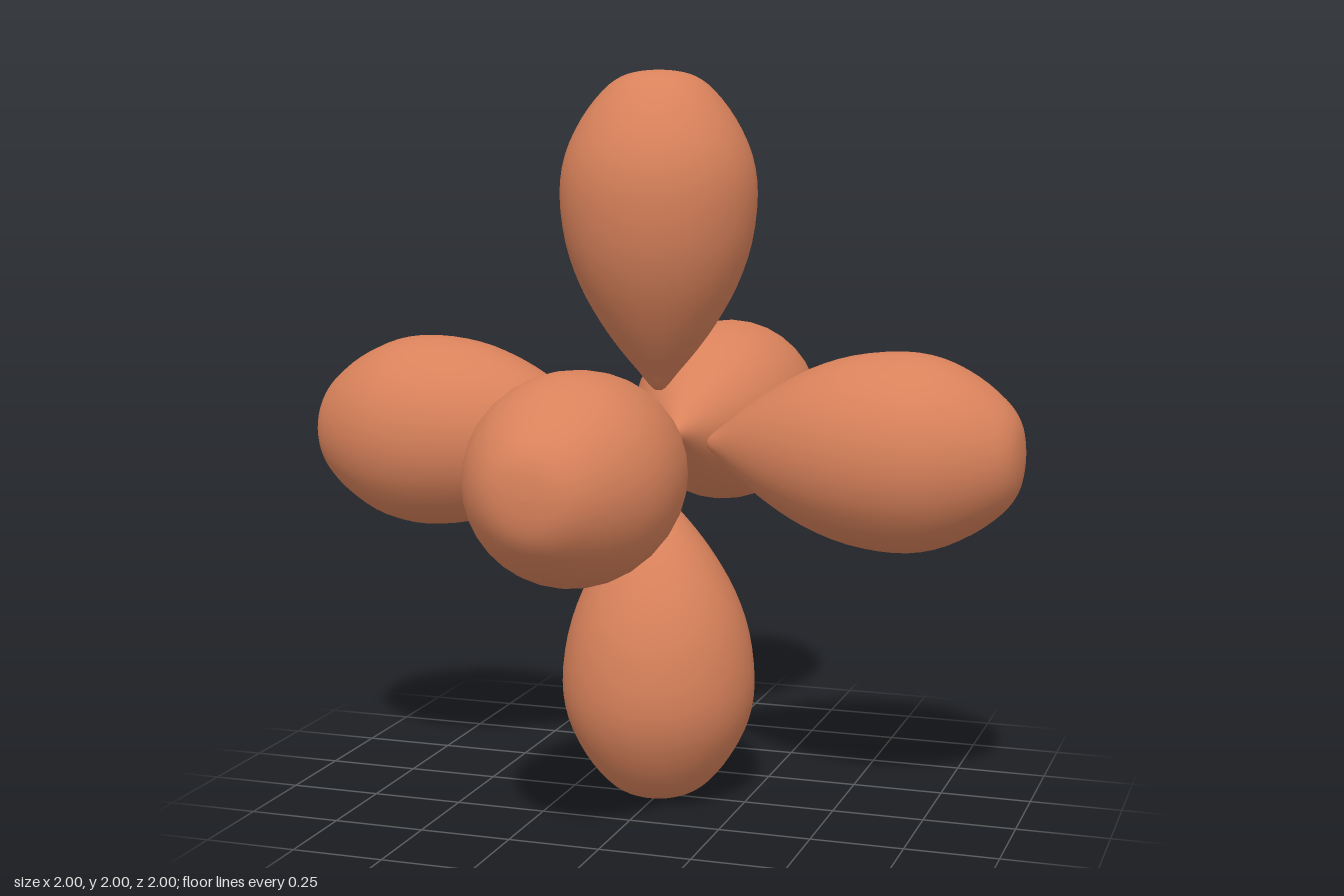
import * as THREE from 'three';

export function createModel() {
  const model = new THREE.Group();
  const material = new THREE.MeshStandardMaterial({ color: 0xd9825b });

  // Teardrop profile: [radius, distance from centre], narrow tip to round end
  const profile = new THREE.SplineCurve([
    [0, 0.138], [0.018, 0.145], [0.055, 0.19], [0.105, 0.25], [0.158, 0.325],
    [0.213, 0.425], [0.252, 0.54], [0.267, 0.67], [0.252, 0.775],
    [0.208, 0.87], [0.15, 0.945], [0.1, 0.982], [0.05, 0.996], [0, 1],
  ].map(([r, d]) => new THREE.Vector2(r, d)));
  const points = profile.getPoints(39);
  points.forEach((p) => { p.x = Math.max(p.x, 0); });
  points[0].x = points[points.length - 1].x = 0;
  const lobe = new THREE.LatheGeometry(points, 32);

  // One lobe along each half axis, tips meeting around an open centre
  const directions = {
    topLobe: [0, 1, 0], bottomLobe: [0, -1, 0],
    leftLobe: [1, 0, 0], rightLobe: [-1, 0, 0],
    frontLobe: [0, 0, 1], backLobe: [0, 0, -1],
  };
  const up = new THREE.Vector3(0, 1, 0);
  for (const [name, dir] of Object.entries(directions)) {
    const mesh = new THREE.Mesh(lobe, material);
    mesh.name = name;
    mesh.quaternion.setFromUnitVectors(up, new THREE.Vector3(...dir));
    mesh.position.y = 1;
    model.add(mesh);
  }
  return model;
}
